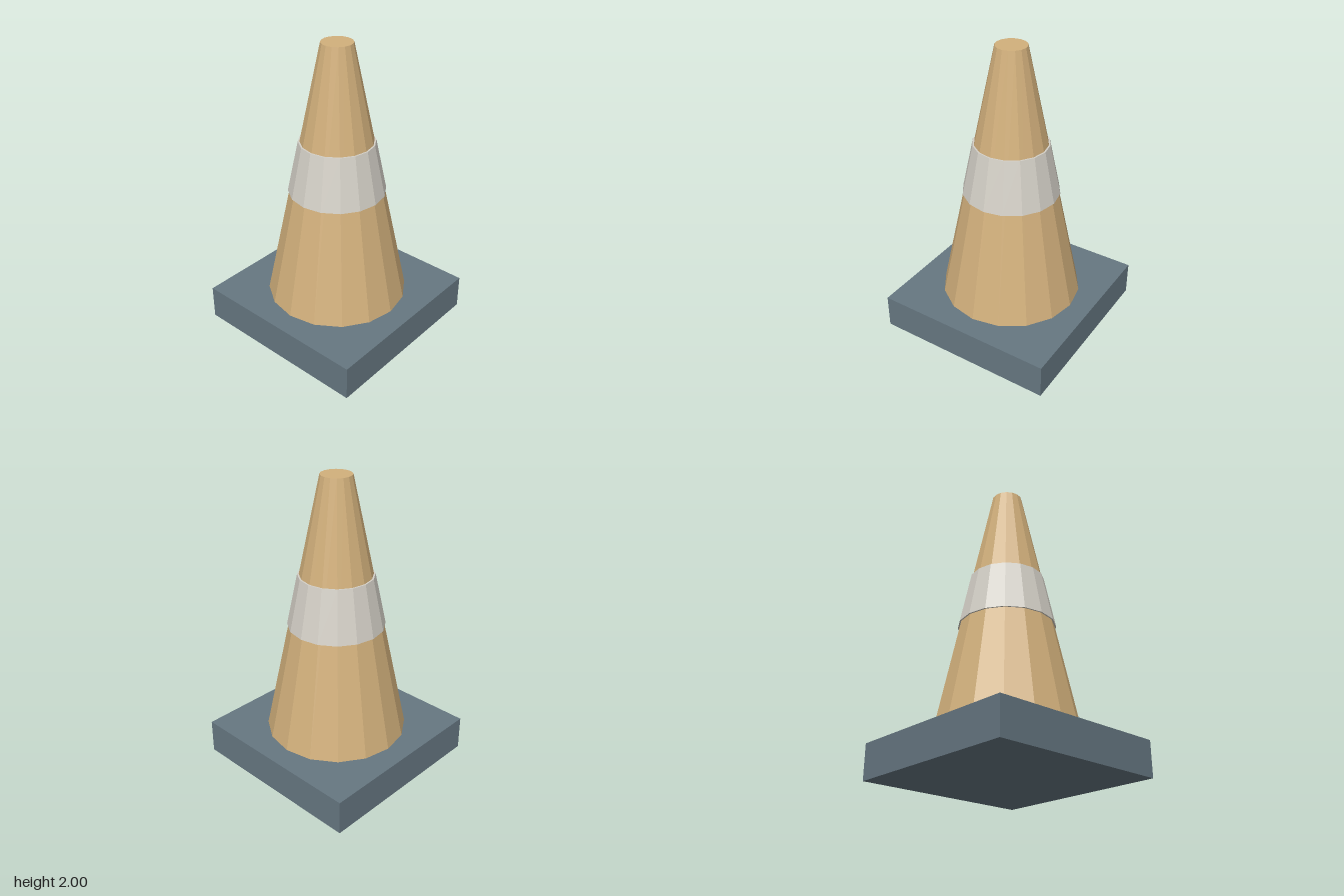
import * as THREE from 'three';

export function createModel() {
  const group = new THREE.Group();
  const mat = (name, color) => {
    const m = new THREE.MeshStandardMaterial({ color });
    m.name = name;
    return m;
  };
  const tan = mat('tan', 0xd2b07c);
  const paleGrey = mat('pale grey', 0xd4d0c7);
  const slate = mat('slate', 0x667781);

  const add = (name, geometry, material, y) => {
    const mesh = new THREE.Mesh(geometry, material);
    mesh.name = name;
    mesh.position.y = y;
    group.add(mesh);
  };

  // Sixteen-sided tapered piece with flat facets, standing between two heights
  const taper = (name, rTop, rBottom, y0, y1, material) => {
    const g = new THREE.CylinderGeometry(rTop, rBottom, y1 - y0, 16).toNonIndexed();
    g.computeVertexNormals();
    add(name, g, material, (y0 + y1) / 2);
  };

  // Square foot
  add('base', new THREE.BoxGeometry(1.23, 0.235, 1.23), slate, 0.1175);

  // Cone body and the slightly wider band around it
  taper('cone', 0.102, 0.474, 0.235, 2, tan);
  taper('band', 0.249, 0.322, 1.003, 1.353, paleGrey);

  return group;
}
